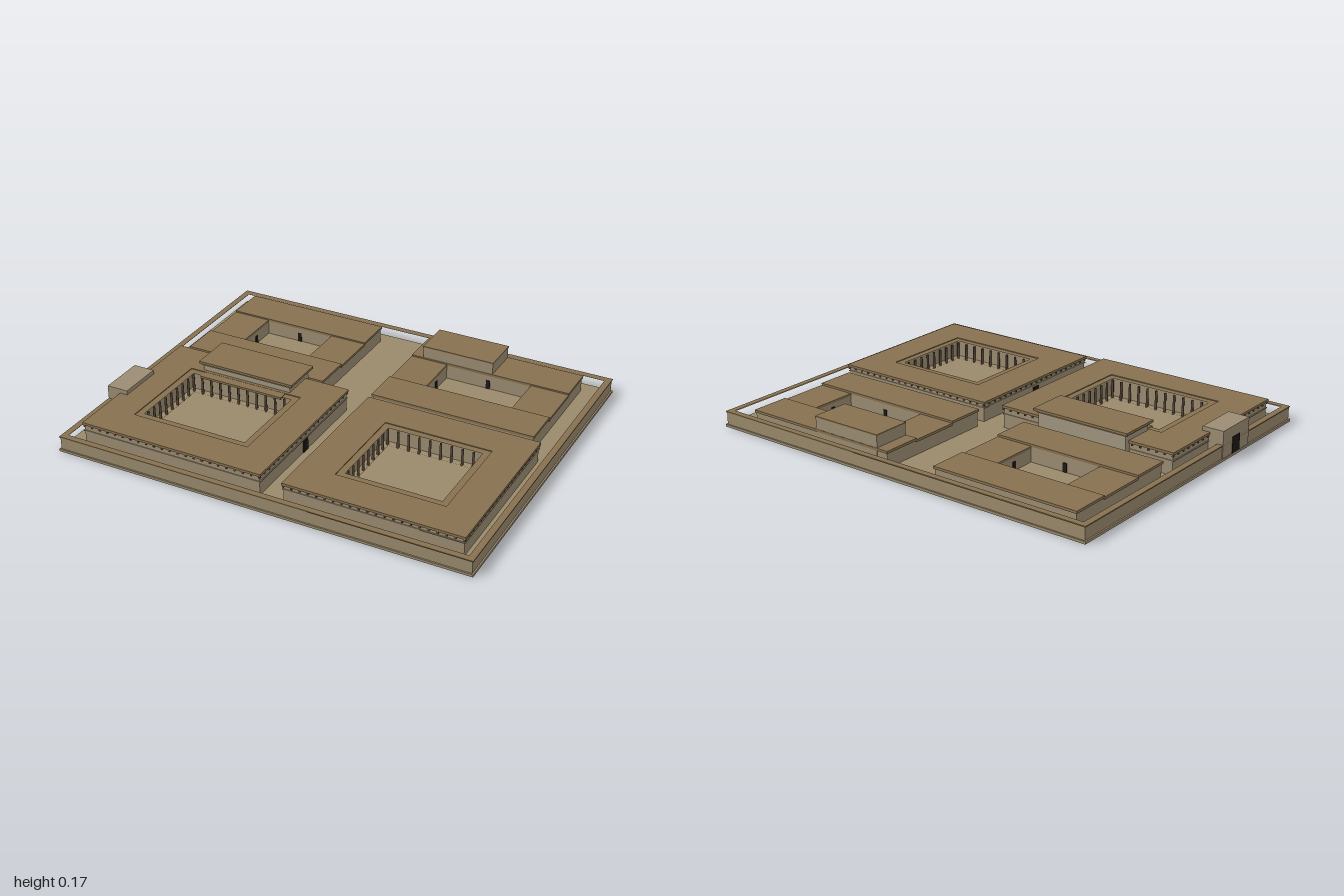
import * as THREE from 'three';

const mat = (color) => new THREE.MeshStandardMaterial({ color });
const earth = mat(0x9a8a6c), wallMat = mat(0x9c8d73), roofMat = mat(0x86704f);
const plaster = mat(0xa0957f), wood = mat(0x5a4a38), dark = mat(0x1c1814);

// Box given by its extents on each axis
function block(parent, name, material, x0, x1, y0, y1, z0, z1) {
  const m = new THREE.Mesh(new THREE.BoxGeometry(x1 - x0, y1 - y0, z1 - z0), material);
  m.position.set((x0 + x1) / 2, (y0 + y1) / 2, (z0 + z1) / 2);
  m.name = name;
  parent.add(m);
  return m;
}

// Rectangular ring lying flat between two heights
function ring(parent, name, material, [x0, x1, z0, z1], [a0, a1, b0, b1], y0, y1) {
  const path = (s, x0, x1, z0, z1) =>
    s.moveTo(x0, -z0).lineTo(x1, -z0).lineTo(x1, -z1).lineTo(x0, -z1).closePath();
  const shape = path(new THREE.Shape(), x0, x1, z0, z1);
  shape.holes.push(path(new THREE.Path(), a0, a1, b0, b1));
  const geo = new THREE.ExtrudeGeometry(shape, { depth: y1 - y0, bevelEnabled: false });
  geo.rotateX(-Math.PI / 2).translate(0, y0, 0);
  const m = new THREE.Mesh(geo, material);
  m.name = name;
  parent.add(m);
}

const grow = ([x0, x1, z0, z1], d) => [x0 - d, x1 + d, z0 - d, z1 + d];

// Evenly spaced points around a rectangle, corners included
function around([x0, x1, z0, z1], step, place) {
  const nx = Math.round((x1 - x0) / step), nz = Math.round((z1 - z0) / step);
  for (let i = 0; i <= nx; i++) for (const z of [z0, z1]) place(x0 + (x1 - x0) * i / nx, z);
  for (let i = 1; i < nz; i++) for (const x of [x0, x1]) place(x, z0 + (z1 - z0) * i / nz);
}

const FLOOR = 0.012;

// Four wings around a courtyard: long front and back wings, short side wings
function wings(parent, outer, court, heights, eave) {
  const [x0, x1, z0, z1] = outer, [a0, a1, b0, b1] = court;
  const list = [
    ['frontWing', x0, x1, b1, z1, heights.front], ['backWing', x0, x1, z0, b0, heights.back],
    ['rightWing', x0, a0, b0, b1, heights.side], ['leftWing', a1, x1, b0, b1, heights.side],
  ];
  for (const [name, l, r, b, f, h] of list) {
    // walls stand back from the outer eaves only
    const inL = l === x0 ? eave : 0, inR = r === x1 ? eave : 0;
    const inB = b === z0 ? eave : 0, inF = f === z1 ? eave : 0;
    block(parent, name, wallMat, l + inL, r - inR, 0.002, h - 0.012, b + inB, f - inF);
    block(parent, name + 'Roof', roofMat, l, r, h - 0.012, h, b, f);
  }
}

// Large house with a colonnaded courtyard
function colonnadeHouse(name, outer, court, height) {
  const g = new THREE.Group();
  g.name = name;
  wings(g, outer, court, { front: height, back: height, side: height }, 0.007);
  // string course and rafter ends
  ring(g, 'stringCourse', wallMat, grow(outer, -0.003), grow(outer, -0.009), 0.076, 0.081);
  around(grow(outer, -0.006), 0.04, (x, z) =>
    block(g, 'rafterEnd', wood, x - 0.004, x + 0.004, height - 0.022, height - 0.014, z - 0.004, z + 0.004));
  // veranda roof, kerb and columns
  const inner = grow(court, -0.032);
  ring(g, 'verandaRoof', roofMat, court, inner, height - 0.016, height - 0.004);
  ring(g, 'verandaKerb', earth, court, inner, 0.004, FLOOR + 0.004);
  const column = new THREE.CylinderGeometry(0.0055, 0.0065, height - 0.016 - FLOOR, 8);
  around(grow(inner, 0.008), 0.05, (x, z) => {
    const m = new THREE.Mesh(column, wood);
    m.name = 'column';
    m.position.set(x, (height - 0.016 + FLOOR) / 2, z);
    g.add(m);
  });
  return g;
}

// Small house with a plain courtyard and a doorway in each courtyard wall
function courtHouse(name, outer, court, heights) {
  const g = new THREE.Group();
  g.name = name;
  wings(g, outer, court, heights, 0.005);
  const [a0, a1, b0, b1] = court, cx = (a0 + a1) / 2, cz = (b0 + b1) / 2;
  for (const x of [a0, a1])
    block(g, 'courtDoor', dark, x - 0.003, x + 0.003, FLOOR, 0.055, cz - 0.01, cz + 0.01);
  for (const z of [b0, b1])
    block(g, 'courtDoor', dark, cx - 0.01, cx + 0.01, FLOOR, 0.055, z - 0.003, z + 0.003);
  return g;
}

export function createModel() {
  const model = new THREE.Group();
  model.name = 'walledCompound';

  // Ground and enclosure wall
  block(model, 'ground', earth, -1, 1, 0, FLOOR, -0.815, 0.815);
  const edge = [-0.993, 0.993, -0.808, 0.808];
  ring(model, 'enclosureWall', earth, edge, grow(edge, -0.023), FLOOR, 0.07);
  ring(model, 'wallCoping', roofMat, grow(edge, 0.004), grow(edge, -0.026), 0.07, 0.075);

  // Two large houses at the front
  const west = colonnadeHouse('frontRightHouse', [-0.93, -0.02, -0.08, 0.725], [-0.765, -0.18, 0.085, 0.56], 0.12);
  const east = colonnadeHouse('frontLeftHouse', [0.082, 0.925, -0.08, 0.725], [0.25, 0.765, 0.085, 0.56], 0.11);
  block(west, 'streetDoor', dark, -0.03, -0.023, FLOOR, 0.07, 0.3, 0.34);
  block(east, 'streetDoor', dark, 0.085, 0.092, FLOOR, 0.07, 0.3, 0.34);
  model.add(west, east);

  // Raised hall over the back wing, with a porch to the courtyard
  const hall = new THREE.Group();
  hall.name = 'greatHall';
  block(hall, 'hallWalls', plaster, -0.705, -0.245, 0.004, 0.152, -0.105, 0.07);
  block(hall, 'hallCornice', wallMat, -0.713, -0.237, 0.148, 0.156, -0.113, 0.077);
  block(hall, 'hallRoof', roofMat, -0.722, -0.228, 0.156, 0.168, -0.122, 0.083);
  block(hall, 'porchRoof', roofMat, -0.69, -0.26, 0.108, 0.119, 0.07, 0.128);
  model.add(hall);

  // Two small houses at the back
  model.add(courtHouse('backRightHouse', [-0.912, -0.183, -0.75, -0.13], [-0.722, -0.365, -0.56, -0.318],
    { front: 0.095, back: 0.092, side: 0.085 }));
  const rear = courtHouse('backLeftHouse', [0.072, 0.872, -0.75, -0.13], [0.257, 0.685, -0.56, -0.318],
    { front: 0.095, back: 0.092, side: 0.085 });
  block(rear, 'tallRoom', wallMat, 0.132, 0.49, 0.004, 0.147, -0.748, -0.562);
  block(rear, 'tallRoomRoof', roofMat, 0.13, 0.492, 0.147, 0.153, -0.75, -0.56);
  model.add(rear);

  // Gatehouse in the side wall
  const gate = new THREE.Group();
  gate.name = 'gatehouse';
  block(gate, 'gateBody', wallMat, -0.997, -0.892, 0.004, 0.14, 0.213, 0.432);
  for (const x of [-0.997, -0.892])
    block(gate, 'gateDoor', dark, x - 0.003, x + 0.003, FLOOR, 0.09, 0.292, 0.352);
  model.add(gate);

  return model;
}
